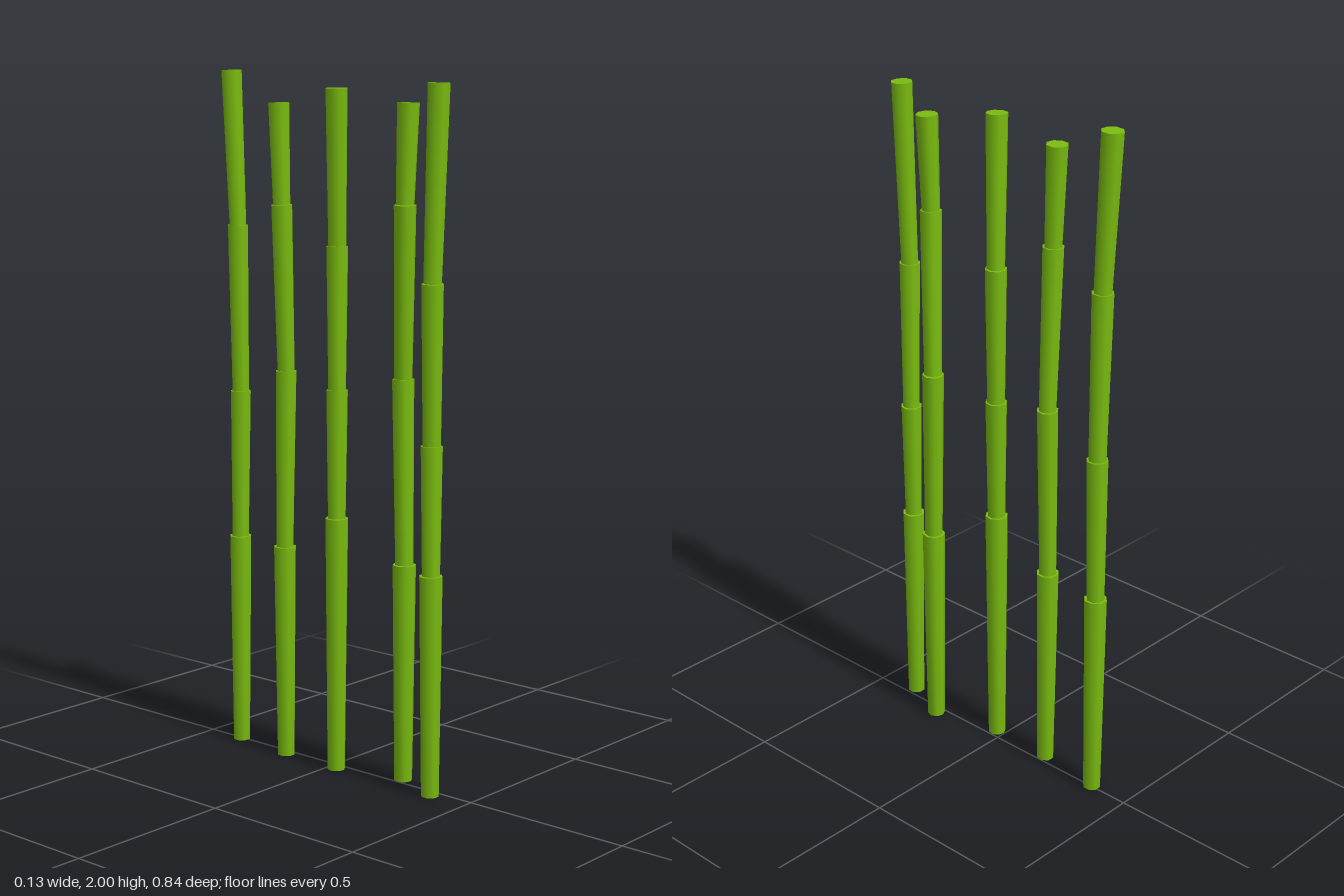
import * as THREE from 'three';

const bambooGreen = new THREE.MeshStandardMaterial({ color: 0x7abc10 });
bambooGreen.name = 'bambooGreen';

// Each stalk: joint centres [x, y, z] from the ground to the tip, and its turn
const stalks = [
  { turn: 0.39, joints: [[-0.03, 0, 0.378], [-0.03, 0.63, 0.376], [-0.022, 0.99, 0.369], [-0.035, 1.435, 0.378], [-0.03, 1.968, 0.391]] },
  { turn: 0.1, joints: [[0.025, 0, 0.236], [0.026, 0.63, 0.235], [0.035, 1.154, 0.22], [0.01, 1.638, 0.244], [0.016, 1.914, 0.249]] },
  { turn: 0.2, joints: [[-0.028, 0, 0.028], [-0.028, 0.743, 0.03], [-0.02, 1.11, 0.024], [-0.016, 1.515, 0.021], [-0.034, 1.951, 0.034]] },
  { turn: 0.3, joints: [[-0.025, 0, -0.172], [-0.025, 0.63, -0.174], [-0.019, 1.146, -0.172], [-0.035, 1.623, -0.172], [-0.036, 1.91, -0.181]] },
  { turn: 0.39, joints: [[-0.004, 0, -0.374], [-0.004, 0.63, -0.373], [0, 1.066, -0.372], [-0.005, 1.554, -0.374], [-0.006, 1.999, -0.394]] },
];

const SIDES = 8;
const UP = new THREE.Vector3(0, 1, 0);

// One tapered cane section, wider at its top, leaning from one joint to the next
function caneSection(from, to, index, turn) {
  const start = new THREE.Vector3(...from);
  const axis = new THREE.Vector3(...to).sub(start);
  const height = axis.length();
  const bottom = 0.026;
  const top = index === 0 ? 0.0335 : 0.0315;

  const section = new THREE.Group();
  section.name = `caneSection${index + 1}`;
  section.position.copy(start);
  section.quaternion.setFromUnitVectors(UP, axis.normalize());

  // The ground section has a closed, softly shaded foot
  const profile = [new THREE.Vector2(bottom, 0), new THREE.Vector2(top, height)];
  if (index === 0) profile.unshift(new THREE.Vector2(0, 0));
  const wall = new THREE.Mesh(new THREE.LatheGeometry(profile, SIDES), bambooGreen);
  wall.name = 'caneWall';
  wall.rotation.y = turn;

  // Flat disc closing the top, corners aligned with the wall
  const disc = new THREE.CircleGeometry(top, SIDES).rotateX(-Math.PI / 2);
  const cap = new THREE.Mesh(disc, bambooGreen);
  cap.name = 'caneCap';
  cap.position.y = height;
  cap.rotation.y = turn;

  section.add(wall, cap);
  return section;
}

export function createModel() {
  const model = new THREE.Group();
  model.name = 'bambooRow';
  stalks.forEach(({ joints, turn }, s) => {
    const stalk = new THREE.Group();
    stalk.name = `bambooStalk${s + 1}`;
    for (let i = 0; i < joints.length - 1; i++) {
      stalk.add(caneSection(joints[i], joints[i + 1], i, turn));
    }
    model.add(stalk);
  });
  return model;
}
